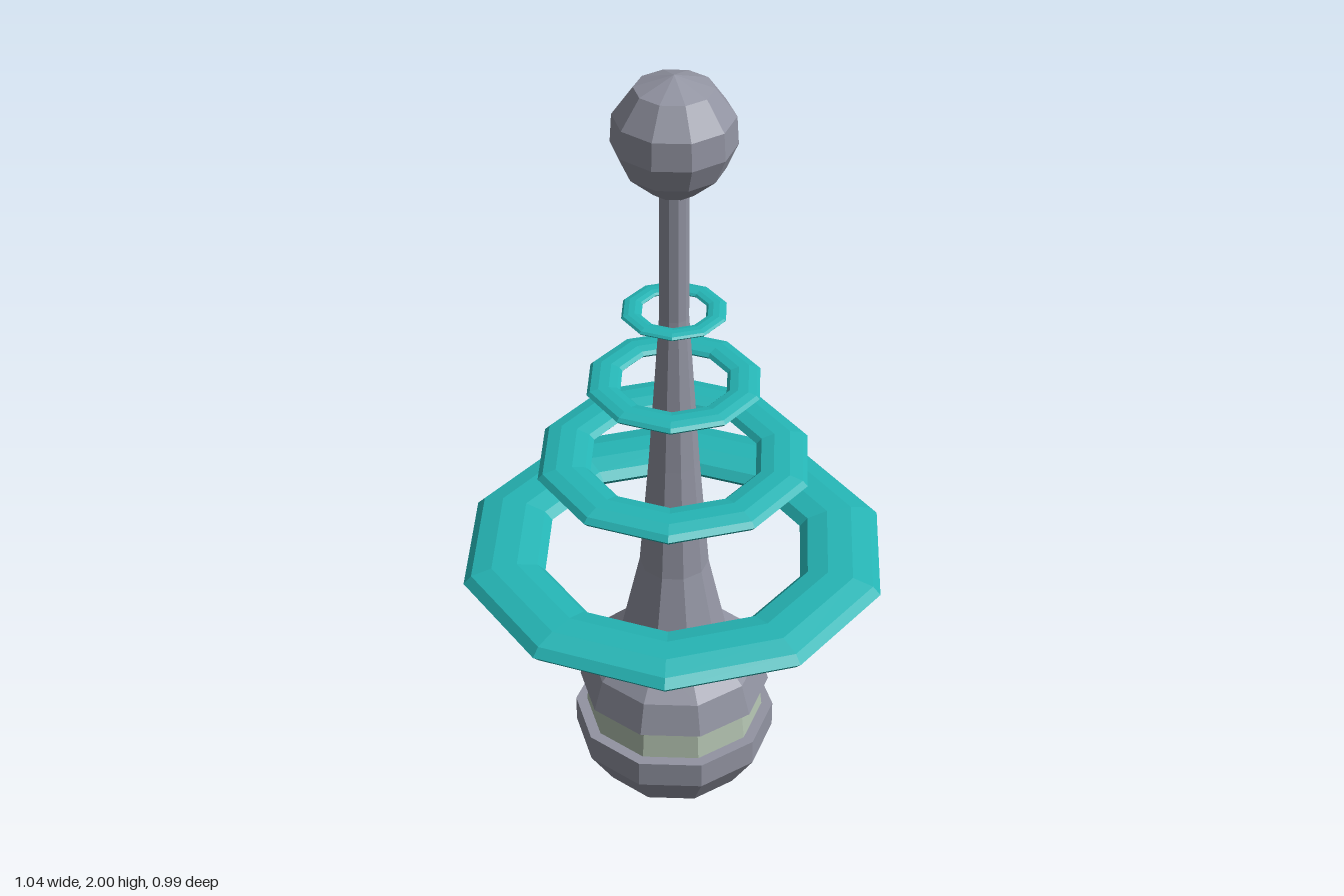
import * as THREE from 'three';

const SIDES = 10;

export function createModel() {
  const model = new THREE.Group();
  const mat = (name, color) => {
    const m = new THREE.MeshStandardMaterial({ color, flatShading: true });
    m.name = name;
    return m;
  };
  const metal = mat('grey metal', 0x9294a2);
  const teal = mat('teal ring', 0x25b5b5);
  const pale = mat('pale green band', 0xb2c2b0);

  const add = (name, geometry, material) => {
    const mesh = new THREE.Mesh(geometry, material);
    mesh.name = name;
    model.add(mesh);
    return mesh;
  };
  // Ten-sided turned part; profile of [radius, height] from bottom to top
  const turned = (name, profile, material) =>
    add(name, new THREE.LatheGeometry(profile.map(([r, y]) => new THREE.Vector2(r, y)), SIDES), material);

  // Rounded base bowl with a flat ledge
  turned('baseBowl', [[0, 0], [0.085, 0], [0.188, 0.07], [0.25, 0.17], [0.25, 0.24], [0.2, 0.24]], metal);

  // Recessed light band
  turned('lightBand', [[0.222, 0.24], [0.213, 0.325]], pale);

  // Shoulder above the band
  turned('shoulder', [[0.2, 0.325], [0.237, 0.325], [0.213, 0.405], [0.13, 0.49]], metal);

  // Tapering mast
  turned('mast', [[0.13, 0.49], [0.084, 0.7], [0.06, 1.0], [0.034, 1.4], [0.033, 1.74]], metal);

  // Faceted ball on top
  turned('topBall', [
    [0, 1.727], [0.054, 1.727], [0.113, 1.78], [0.139, 1.84],
    [0.135, 1.905], [0.088, 1.97], [0, 2],
  ], metal);

  // Floating flattened rings, shrinking upwards: [height, scale]
  [[0.734, 1], [1.005, 0.635], [1.22, 0.4], [1.413, 0.238]].forEach(([y, s], i) => {
    const ring = new THREE.TorusGeometry(0.42 * s, 0.1 * s, 10, SIDES);
    ring.scale(1, 1, 0.34).rotateX(-Math.PI / 2).translate(0, y, 0);
    add(`floatingRing${i + 1}`, ring, teal);
  });

  return model;
}
